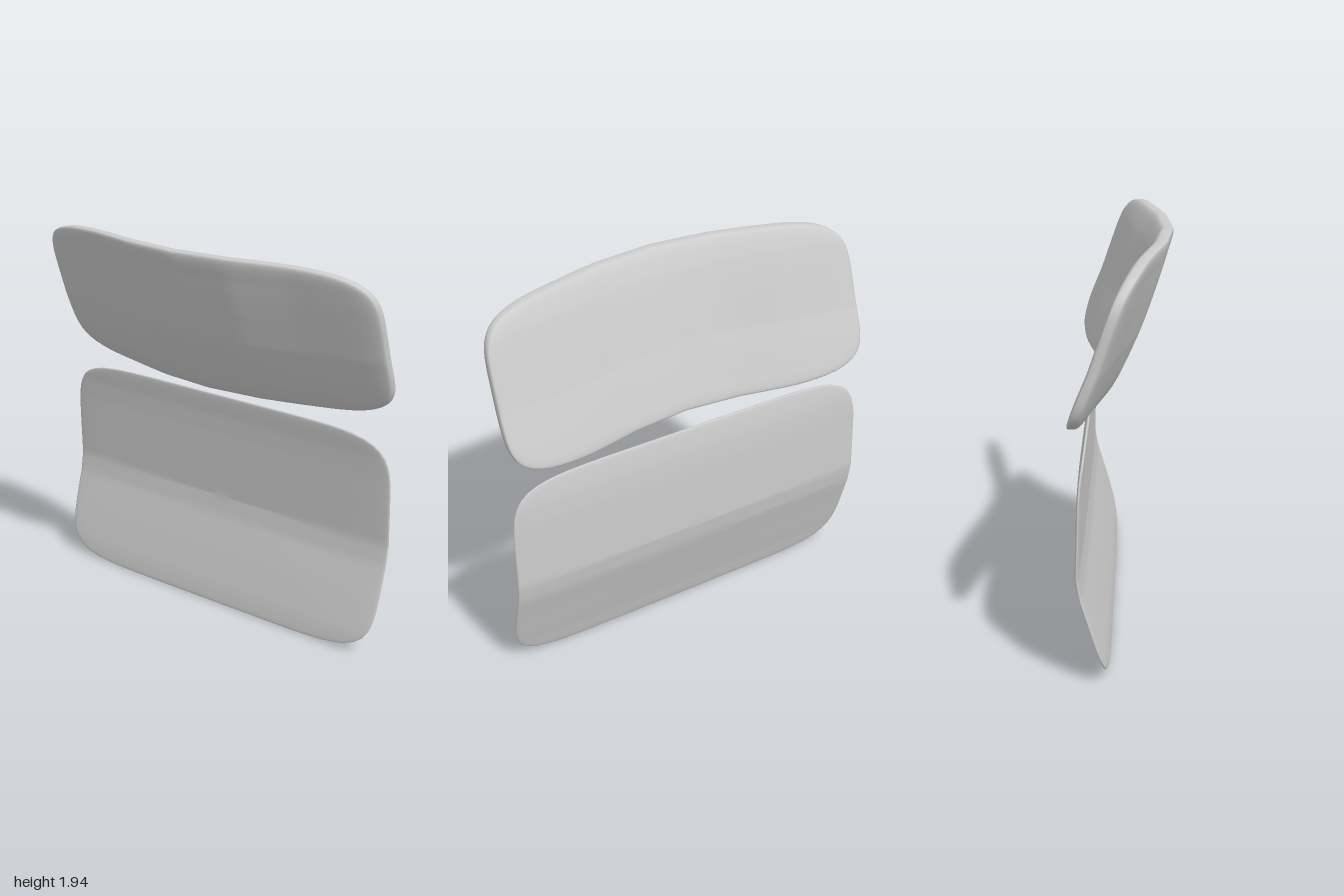
import * as THREE from 'three';
import { mergeVertices } from 'three/addons/utils/BufferGeometryUtils.js';

const material = new THREE.MeshStandardMaterial({ color: 0xcccccc });

// Straight interpolation through [input, output] pairs
function along(points, s) {
  for (let i = 1; i < points.length; i++) {
    const [a, va] = points[i - 1], [b, vb] = points[i];
    if (s <= b) return va + (vb - va) * Math.max(0, (s - a) / (b - a));
  }
  return points[points.length - 1][1];
}

// Rounded-rectangle cushion: a sphere squashed along x, squared off in y/z,
// then bent along its height (profile) and across its width (bow)
function panel(name, { bottom, top, power, thickness, edge, profile, bow }) {
  let geometry = new THREE.SphereGeometry(1, 128, 48);
  geometry.deleteAttribute('uv');
  geometry.deleteAttribute('normal');
  geometry.rotateZ(-Math.PI / 2);
  const p = geometry.attributes.position;
  for (let i = 0; i < p.count; i++) {
    const c = p.getX(i), b = p.getY(i), a = p.getZ(i);
    const r = Math.hypot(a, b);
    const norm = (Math.abs(a) ** power + Math.abs(b) ** power) ** (1 / power);
    const k = norm > 1e-6 ? r / norm : 0;
    const y = (bottom + top) / 2 + b * k * (top - bottom) / 2;
    const z = a * k;
    const half = Math.abs(c) < 1e-6 ? 0 : Math.sign(c) * thickness / 2 * Math.abs(c) ** edge;
    p.setXYZ(i, along(profile, y) + along(bow, Math.abs(z)) + half, y, z);
  }
  geometry = mergeVertices(geometry, 1e-5);
  geometry.computeVertexNormals();
  const mesh = new THREE.Mesh(geometry, material);
  mesh.name = name;
  return mesh;
}

export function createModel() {
  const group = new THREE.Group();
  group.name = 'backrestPanels';

  // Thin lower panel with a lumbar bend
  group.add(panel('lowerBackPanel', {
    bottom: 0, top: 1.115, power: 7, thickness: 0.032, edge: 0.5,
    profile: [[0, 0.06], [0.1, 0.082], [0.2, 0.11], [0.3, 0.138], [0.45, 0.182],
      [0.55, 0.198], [0.65, 0.195], [0.9, 0.187], [1, 0.18], [1.115, 0.163]],
    bow: [[0, 0], [1, 0]],
  }));

  // Thicker tilted upper panel, its ends wrapping forward
  group.add(panel('upperBackPanel', {
    bottom: 1.18, top: 1.94, power: 5.4, thickness: 0.11, edge: 0.42,
    profile: [[1.18, 0.09], [1.28, 0.042], [1.5, -0.05], [1.83, -0.163], [1.94, -0.208]],
    bow: [[0, 0], [0.3, 0.03], [0.6, 0.1], [0.93, 0.158], [1, 0.172]],
  }));

  return group;
}
